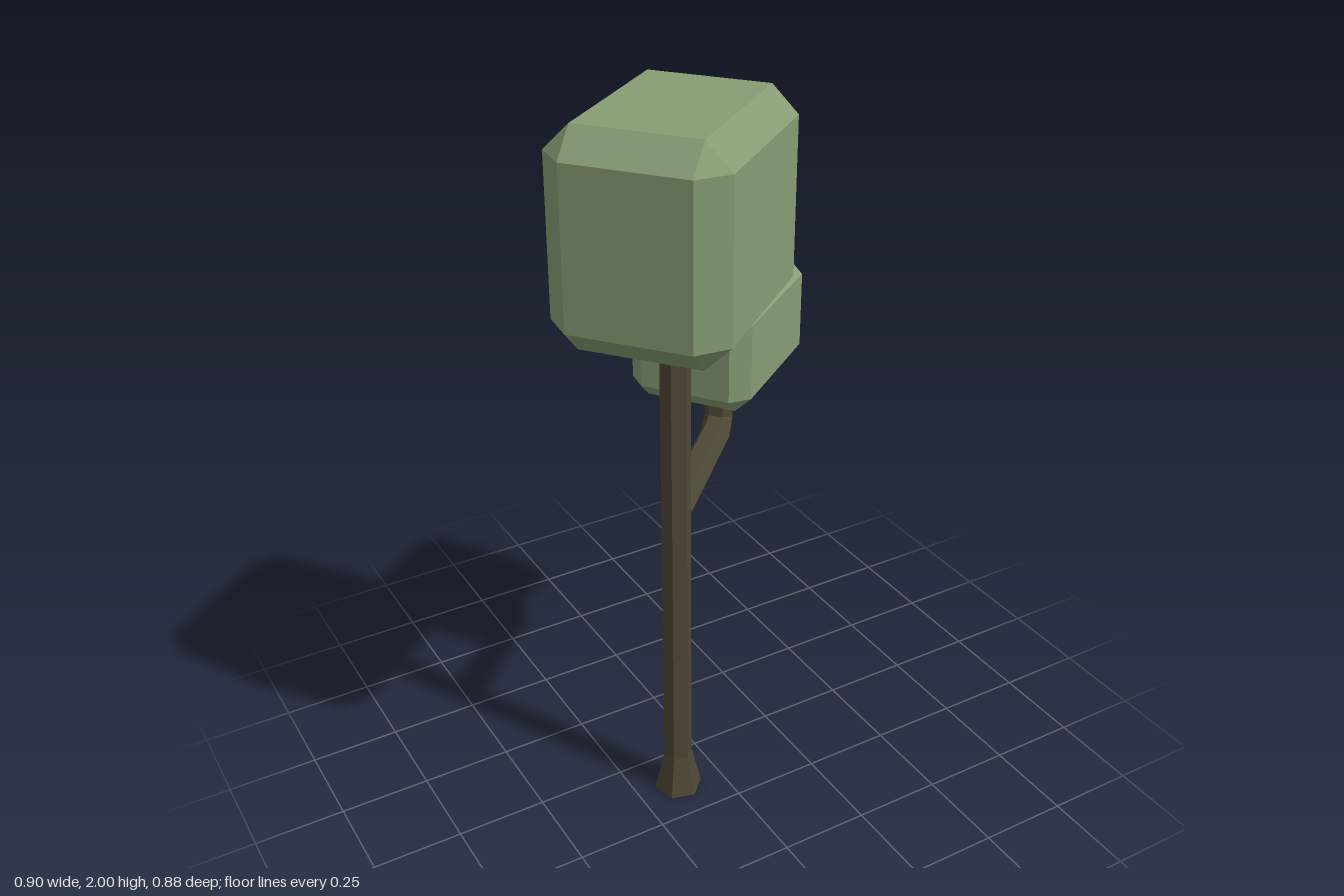
import * as THREE from 'three';
import { ConvexGeometry } from 'three/addons/geometries/ConvexGeometry.js';

const bark = new THREE.MeshStandardMaterial({ color: 0x4d4735, flatShading: true });
const leaf = new THREE.MeshStandardMaterial({ color: 0x879c74, flatShading: true });

// Box with every edge and corner cut flat
function chamferedBox(w, h, d, c) {
  const half = [w / 2, h / 2, d / 2];
  const points = [];
  for (const sx of [-1, 1]) for (const sy of [-1, 1]) for (const sz of [-1, 1]) {
    for (let axis = 0; axis < 3; axis++) {
      const [x, y, z] = half.map((v, i) => (i === axis ? v : v - c));
      points.push(new THREE.Vector3(sx * x, sy * y, sz * z));
    }
  }
  return new ConvexGeometry(points);
}

// Six-sided limb swept through stations { x, y, tilt, r } in the local xy plane
function limb(stations, sides = 6) {
  const position = [], index = [];
  stations.forEach(({ x, y, tilt, r, stretch = 1 }) => {
    for (let i = 0; i < sides; i++) {
      const a = (i / sides) * Math.PI * 2;
      const n = Math.sin(a) * r * stretch;
      position.push(x - Math.sin(tilt) * n, y + Math.cos(tilt) * n, Math.cos(a) * r);
    }
  });
  for (let s = 0; s < stations.length - 1; s++) {
    for (let i = 0; i < sides; i++) {
      const a = s * sides + i, b = s * sides + ((i + 1) % sides);
      index.push(a, a + sides, b, b, a + sides, b + sides);
    }
  }
  const geometry = new THREE.BufferGeometry();
  geometry.setAttribute('position', new THREE.Float32BufferAttribute(position, 3));
  geometry.setIndex(index);
  geometry.computeVertexNormals();
  return geometry;
}

export function createModel() {
  const tree = new THREE.Group();
  tree.name = 'tree';
  const add = (name, geometry, material, x, y, z, turn = 0) => {
    const mesh = new THREE.Mesh(geometry, material);
    mesh.name = name;
    mesh.position.set(x, y, z);
    mesh.rotation.y = turn;
    tree.add(mesh);
  };

  // Hexagonal trunk with a flared foot
  const profile = [[0, 0], [0.068, 0], [0.04, 0.12], [0.04, 1.5], [0, 1.5]]
    .map(([r, y]) => new THREE.Vector2(r, y));
  add('trunk', new THREE.LatheGeometry(profile, 6, -Math.PI / 4), bark, -0.128, 0, 0.124);

  // Side branch that bends upward
  const bend = 1 / Math.cos(Math.PI / 8);
  add('branch', limb([
    { x: 0, y: 0.928, tilt: 0, r: 0.043 },
    { x: 0.412, y: 0.929, tilt: Math.PI / 8, r: 0.043, stretch: bend },
    { x: 0.457, y: 0.965, tilt: Math.PI * 3 / 8, r: 0.04, stretch: bend },
    { x: 0.457, y: 1.14, tilt: Math.PI / 2, r: 0.034 },
  ]), bark, -0.128, 0, 0.124, Math.PI / 4);

  // Blocky crowns
  add('mainCrown', chamferedBox(0.576, 0.54, 0.448, 0.067), leaf, -0.128, 1.73, 0.128, 0.673);
  add('branchCrown', chamferedBox(0.457, 0.302, 0.344, 0.045), leaf, 0.19, 1.249, -0.197, 0.628);
  return tree;
}
